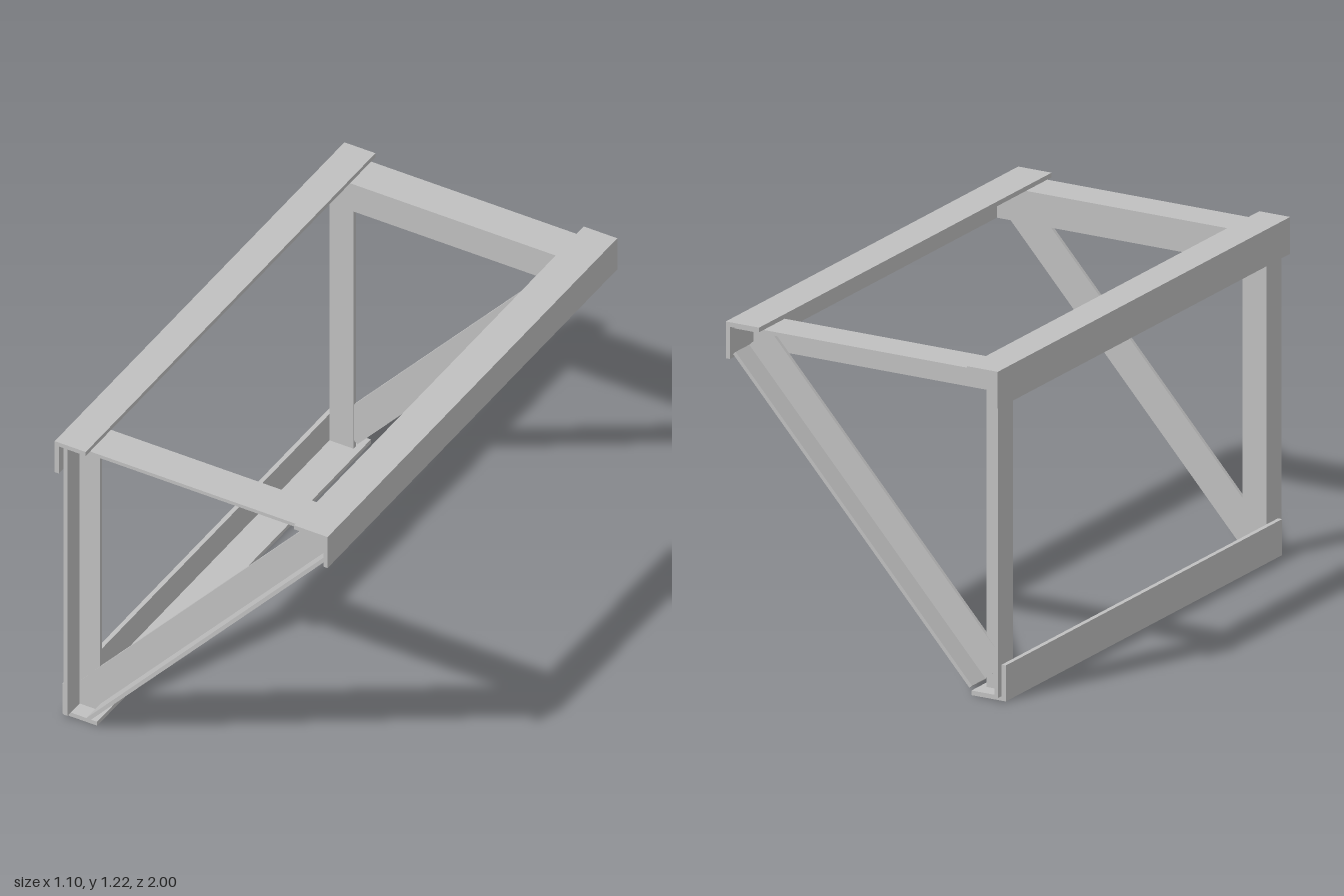
import * as THREE from 'three';

const steel = new THREE.MeshStandardMaterial({ color: 0xc0c0c0 });
steel.name = 'plain steel';

const X = new THREE.Vector3(1, 0, 0);
const Y = new THREE.Vector3(0, 1, 0);
const Z = new THREE.Vector3(0, 0, 1);

// Angle iron: signed legs a (along u) and b (along v) meet at the corner; it runs along u x v
function angleIron(name, corner, u, v, a, b, t, length) {
  const ta = t * Math.sign(a);
  const tb = t * Math.sign(b);
  const profile = new THREE.Shape(
    [[0, 0], [a, 0], [a, tb], [ta, tb], [ta, b], [0, b]].map(([p, q]) => new THREE.Vector2(p, q))
  );
  const geometry = new THREE.ExtrudeGeometry(profile, { depth: length, bevelEnabled: false });
  const run = new THREE.Vector3().crossVectors(u, v);
  geometry.applyMatrix4(new THREE.Matrix4().makeBasis(u, v, run).setPosition(corner));
  const mesh = new THREE.Mesh(geometry, steel);
  mesh.name = name;
  return mesh;
}

export function createModel() {
  const model = new THREE.Group();
  model.name = 'bracketFrame';
  const at = (x, y, z) => new THREE.Vector3(x, y, z);

  // Long rails
  model.add(
    angleIron('topWallRail', at(-0.55, 1.224, -1), X, Y, 0.125, -0.135, 0.017, 2),
    angleIron('topOuterRail', at(0.55, 1.224, -1), X, Y, -0.135, -0.135, 0.017, 2),
    angleIron('bottomRail', at(-0.55, 0, -0.945), X, Y, 0.139, 0.132, 0.017, 1.89)
  );

  // Brace direction and its downward perpendicular
  const tilt = Math.atan2(1.063, 0.956);
  const down = at(Math.sin(tilt), -Math.cos(tilt), 0);

  // Matching end frames
  for (const [side, s] of [['front', 1], ['back', -1]]) {
    const braceCorner = at(-0.514, 0.12, 0.872 * s).addScaledVector(down, 0.122);
    model.add(
      angleIron(side + 'CrossBar', at(-0.533, 1.207, 0.825 * s), Y, Z, -0.118, 0.145 * s, 0.014, 1.066),
      angleIron(side + 'Post', at(-0.533, 0.017, 0.868 * s), Z, X, 0.1 * s, 0.097, 0.016, 1.176),
      angleIron(side + 'Brace', braceCorner, Z, down, 0.107 * s, -0.122, 0.014, 1.43)
    );
  }
  return model;
}
